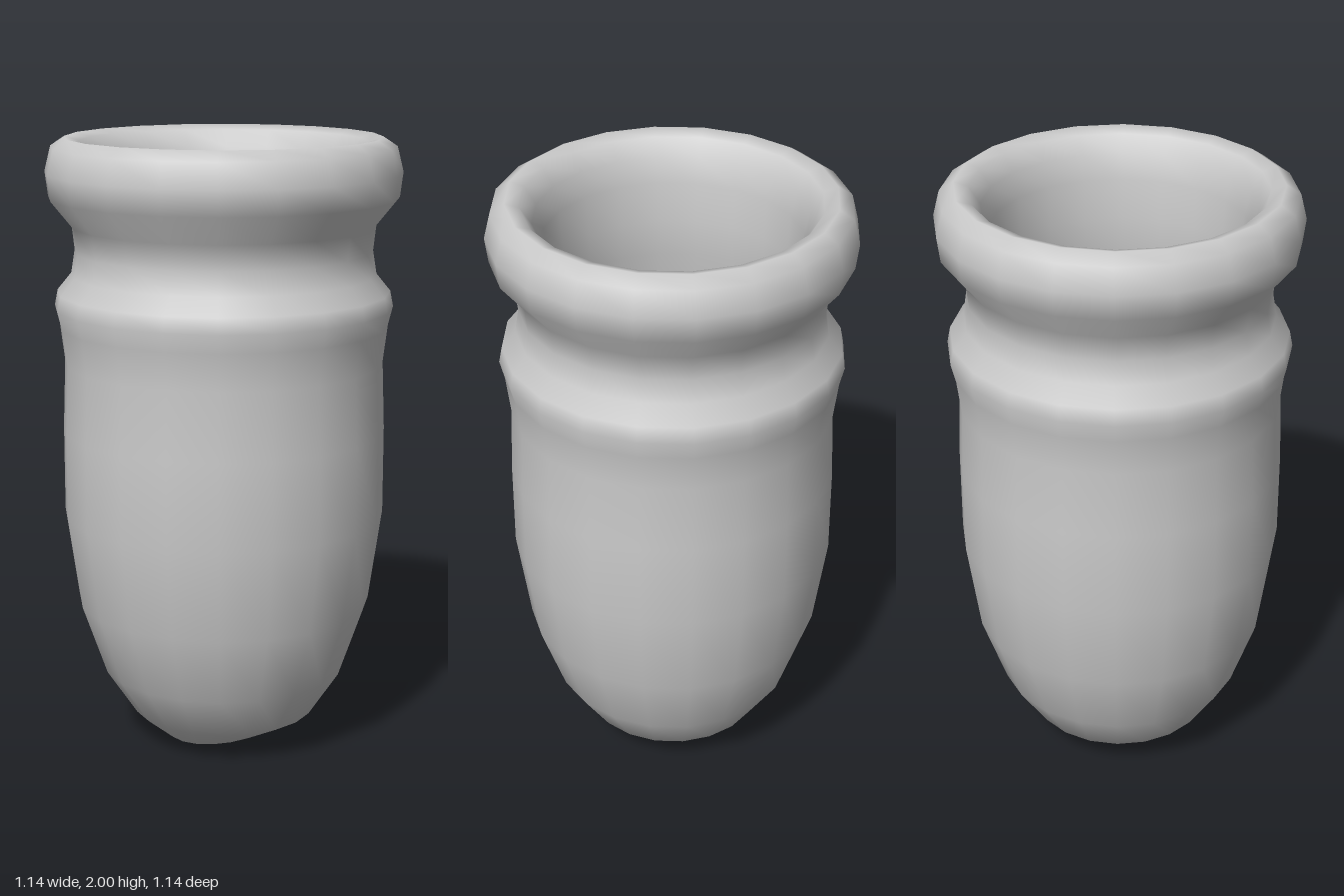
import * as THREE from 'three';
import { mergeVertices } from 'three/addons/utils/BufferGeometryUtils.js';

const SIDES = 20;
const material = new THREE.MeshStandardMaterial({ color: 0xcccccc });

// Turn a [radius, height] profile, apply an optional vertex rule, smooth across the seam
function turned(name, profile, rule) {
  const geo = new THREE.LatheGeometry(profile.map(([r, y]) => new THREE.Vector2(r, y)), SIDES);
  const pos = geo.attributes.position;
  if (rule) {
    for (let i = 0; i < pos.count; i++) pos.setX(i, pos.getX(i) * rule(pos.getY(i)));
  }
  geo.deleteAttribute('uv');
  geo.deleteAttribute('normal');
  const merged = mergeVertices(geo, 1e-4);
  merged.computeVertexNormals();
  const mesh = new THREE.Mesh(merged, material);
  mesh.name = name;
  return mesh;
}

export function createModel() {
  const group = new THREE.Group();
  group.name = 'cup';

  // Outer wall with rounded base, raised band, neck and thick lip
  const outside = [
    [0.15, 0], [0.22, 0.03], [0.3, 0.1], [0.4, 0.25], [0.48, 0.48],
    [0.523, 0.78], [0.523, 1.06], [0.515, 1.28], [0.53, 1.4],
    [0.545, 1.46], [0.535, 1.51], [0.49, 1.565], [0.478, 1.64], [0.487, 1.72],
    [0.56, 1.81], [0.57, 1.89], [0.55, 1.97], [0.505, 2],
  ];
  // Lip rolling inward, then the hollow down to its floor
  const inside = [
    [0.46, 1.985], [0.425, 1.93], [0.405, 1.85], [0.395, 1.72], [0.395, 1.6],
    [0.42, 1.48], [0.44, 1.3], [0.445, 0.8], [0.41, 0.52], [0.34, 0.32],
    [0.24, 0.18], [0.12, 0.11], [0, 0.09],
  ];

  // The base narrows sideways into a short ridge running front to back
  const pinch = (y) => (y < 0.01 ? 0 : y < 0.05 ? 0.73 : 1);
  group.add(turned('cupBody', [...outside, ...inside], pinch));
  return group;
}
